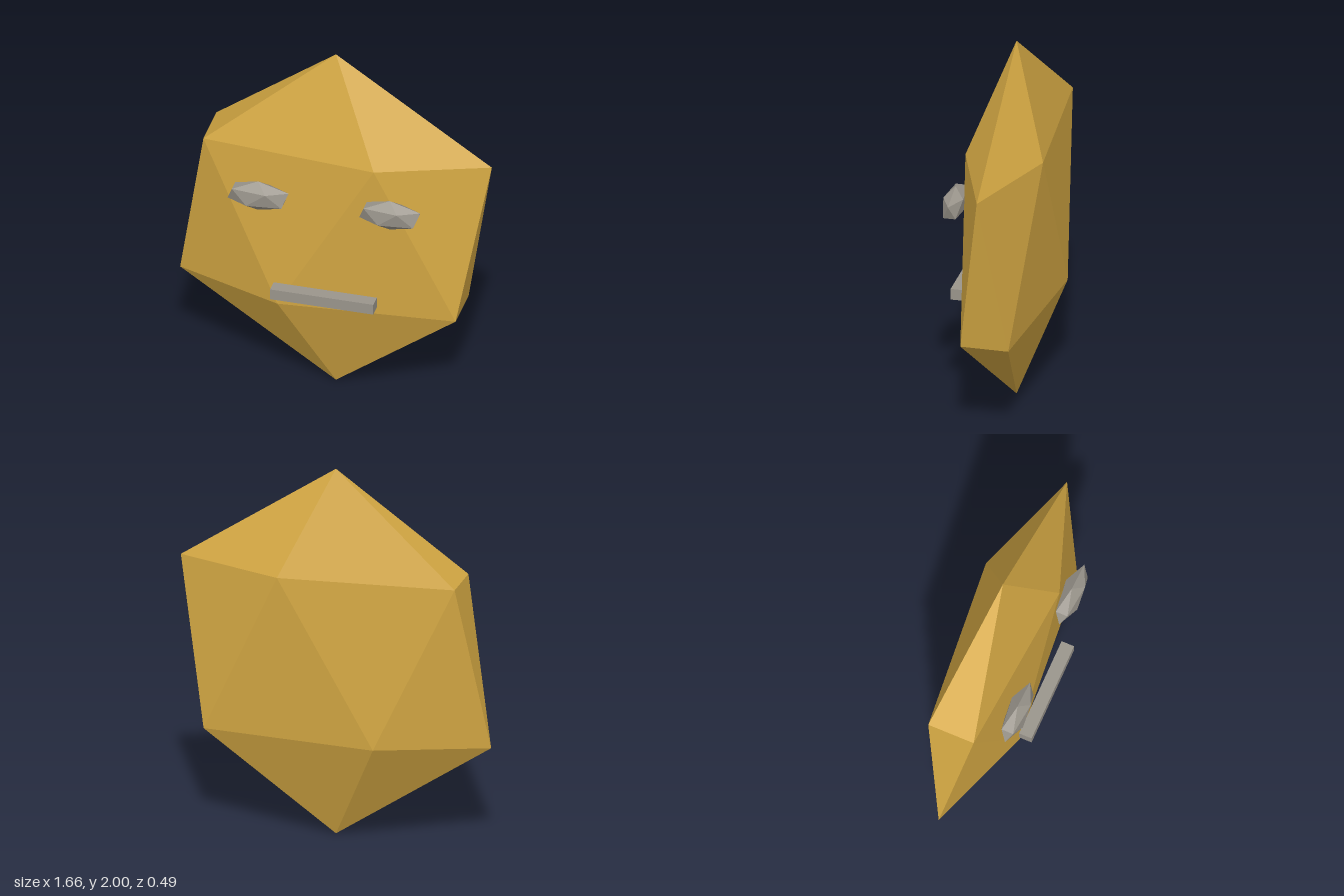
import * as THREE from 'three';
import { ConvexGeometry } from 'three/addons/geometries/ConvexGeometry.js';

// Stretched 20-sided gem: two poles and two twisted rings of five points
function gem(sx, sy, sz) {
  const points = [new THREE.Vector3(0, sy, 0), new THREE.Vector3(0, -sy, 0)];
  const ring = 2 / Math.sqrt(5), height = 1 / Math.sqrt(5);
  for (let i = 0; i < 5; i++) {
    const a = (i * Math.PI * 2) / 5;
    const x = Math.cos(a) * ring * sx, z = Math.sin(a) * ring * sz;
    points.push(new THREE.Vector3(x, height * sy, z));
    points.push(new THREE.Vector3(-x, -height * sy, -z));
  }
  return new ConvexGeometry(points);
}

export function createModel() {
  const group = new THREE.Group();
  const gold = new THREE.MeshStandardMaterial({ color: 0xd4a843 });
  gold.name = 'gold';
  const grey = new THREE.MeshStandardMaterial({ color: 0x9a958c });
  grey.name = 'warm grey';

  const add = (name, geometry, material, x, y, z) => {
    const mesh = new THREE.Mesh(geometry, material);
    mesh.name = name;
    mesh.position.set(x, y, z);
    group.add(mesh);
  };

  // Flattened faceted head
  add('head', gem(0.929, 1, 0.242), gold, 0, 1, -0.041);

  // Eyes
  const eye = gem(0.182, 0.087, 0.062);
  add('leftEye', eye, grey, 0.351, 1.219, 0.193);
  add('rightEye', eye, grey, -0.351, 1.219, 0.193);

  // Mouth bar
  add('mouth', new THREE.BoxGeometry(0.55, 0.06, 0.07), grey, 0, 0.654, 0.204);

  return group;
}
